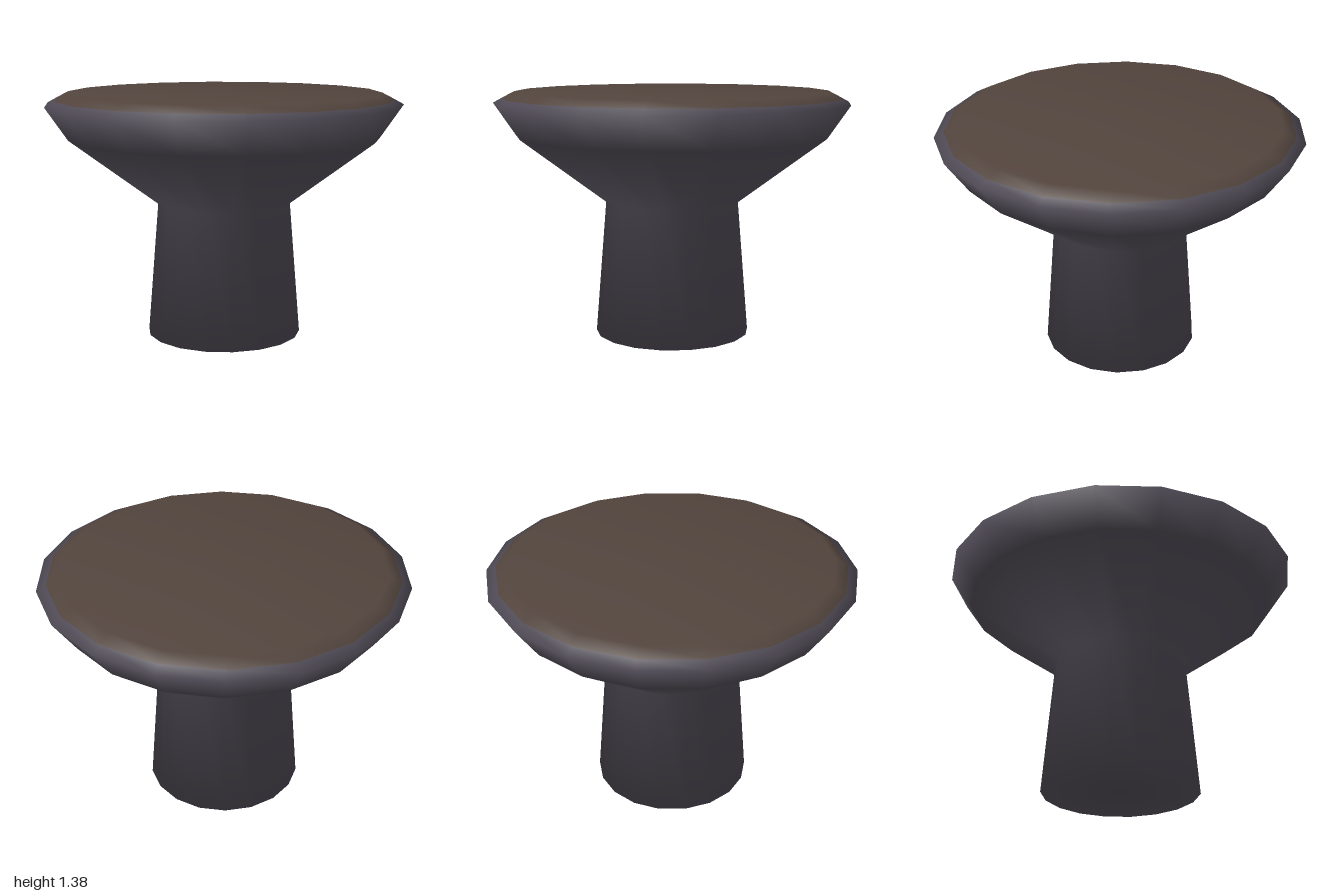
import * as THREE from 'three';

const SIDES = 18;

// Smooth turned part from [radius, height, pitch] rows, with a corner on the x axis.
// Pitch is the upward tilt of the surface normal in degrees.
function turned(name, profile, material) {
  const points = profile.map(([r, y]) => new THREE.Vector2(r, y));
  const start = Math.PI / 2;
  const geometry = new THREE.LatheGeometry(points, SIDES, start);
  const normals = geometry.attributes.normal;
  for (let i = 0; i <= SIDES; i++) {
    const turn = start + (i / SIDES) * Math.PI * 2;
    profile.forEach(([, , degrees], j) => {
      const pitch = THREE.MathUtils.degToRad(degrees);
      const out = Math.cos(pitch);
      normals.setXYZ(i * profile.length + j, out * Math.sin(turn), Math.sin(pitch), out * Math.cos(turn));
    });
  }
  const mesh = new THREE.Mesh(geometry, material);
  mesh.name = name;
  return mesh;
}

export function createModel() {
  const charcoal = new THREE.MeshStandardMaterial({ color: 0x504b56 });
  charcoal.name = 'charcoal';
  const brown = new THREE.MeshStandardMaterial({ color: 0x52443d });
  brown.name = 'brown';

  const table = new THREE.Group();
  table.name = 'pedestalTable';

  // Tapered column flaring into a bowl, closed underneath, up to the rim bevel
  table.add(turned('pedestal', [
    [0, 0, -90],
    [0.437, 0, -42],
    [0.375, 0.754, -24],
    [0.876, 1.13, -44],
    [1, 1.312, 13.5],
    [0.947, 1.341, 42],
  ], charcoal));

  // Top surface with the upper part of the bevel
  table.add(turned('tabletop', [
    [0.947, 1.341, 42],
    [0.88, 1.376, 79],
    [0, 1.376, 90],
  ], brown));

  return table;
}
